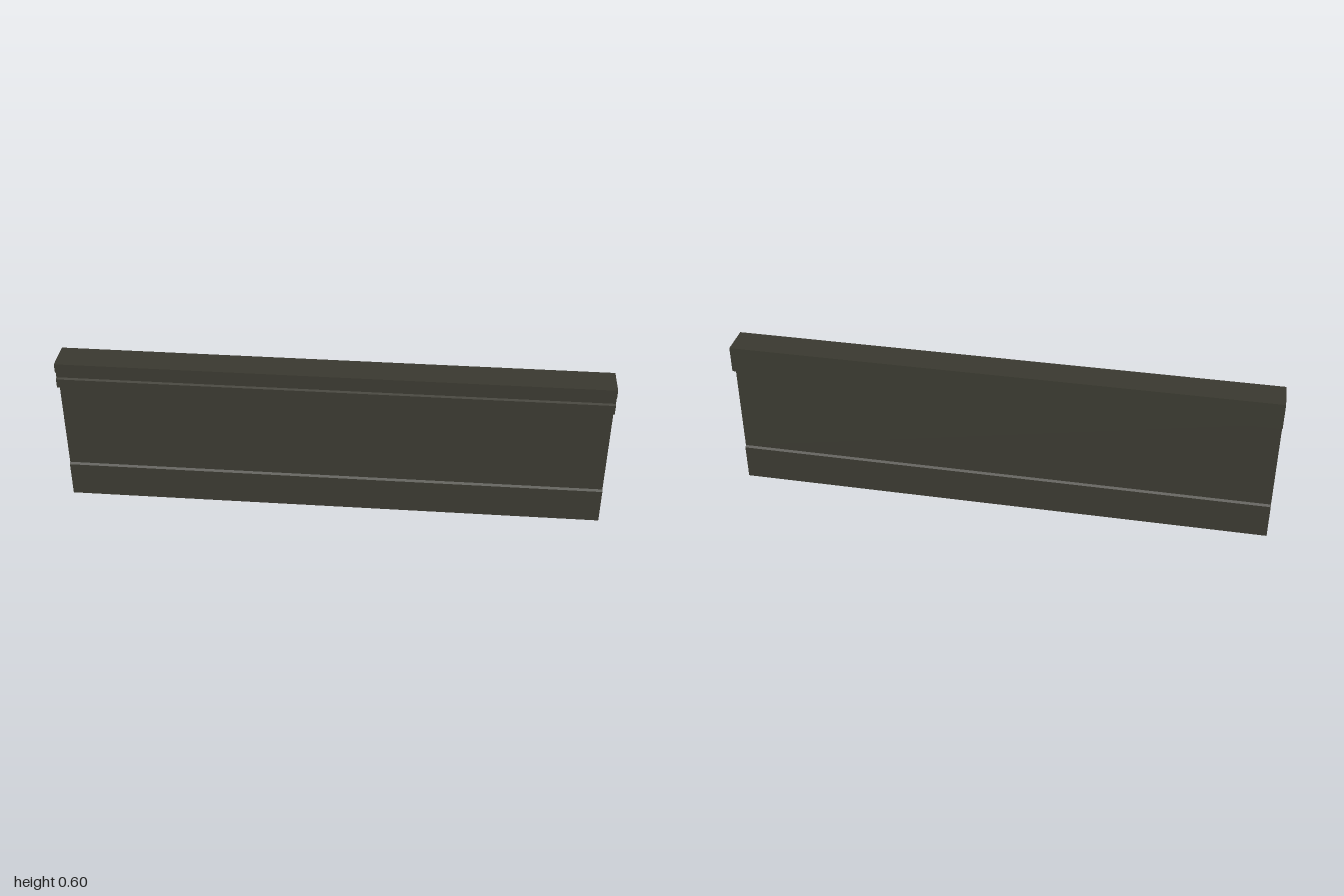
import * as THREE from 'three';

const darkOlive = new THREE.MeshStandardMaterial({ color: 0x3a3930, side: THREE.DoubleSide });
darkOlive.name = 'darkOlive';
const HALF = 1; // half length along x

// Long wall faces swept along x from an open [z, y] path
function wall(path) {
  const pos = [];
  for (let i = 0; i < path.length - 1; i++) {
    const [[za, ya], [zb, yb]] = [path[i], path[i + 1]];
    pos.push(-HALF, ya, za, HALF, ya, za, HALF, yb, zb);
    pos.push(-HALF, ya, za, HALF, yb, zb, -HALF, yb, zb);
  }
  const geo = new THREE.BufferGeometry();
  geo.setAttribute('position', new THREE.Float32BufferAttribute(pos, 3));
  geo.computeVertexNormals();
  return geo;
}

// Flat end face at x = side
function endFace(outline, side) {
  const shape = new THREE.Shape(outline.map(([z, y]) => new THREE.Vector2(-side * z, y)));
  return new THREE.ShapeGeometry(shape).rotateY(side * Math.PI / 2).translate(side * HALF, 0, 0);
}

// A part: swept walls plus both end faces
function part(name, paths) {
  const group = new THREE.Group();
  group.name = name;
  const add = (geo, label) => {
    const mesh = new THREE.Mesh(geo, darkOlive);
    mesh.name = label;
    group.add(mesh);
  };
  paths.forEach((p, i) => add(wall(p), name + 'Wall' + (i + 1)));
  const outline = paths.flat();
  add(endFace(outline, 1), name + 'LeftEnd');
  add(endFace(outline, -1), name + 'RightEnd');
  return group;
}

const mirrored = (path) => path.map(([z, y]) => [-z, y]).reverse();

export function createModel() {
  const model = new THREE.Group();
  model.name = 'barrierPanel';

  // Base plinth with chamfered shoulders, open underneath
  const base = [[0.035, 0], [0.035, 0.134], [0.027, 0.14]];
  // Thin upright panel
  const panel = [[0.027, 0.14], [0.027, 0.496]];
  // Top rail with a shallow groove along the front
  const rail = [
    [-0.027, 0.496], [-0.058, 0.496], [-0.058, 0.595], [0.058, 0.595],
    [0.058, 0.56], [0.05, 0.556], [0.05, 0.535], [0.058, 0.531],
    [0.058, 0.496], [0.027, 0.496],
  ].reverse();

  model.add(part('base', [base, mirrored(base)]));
  model.add(part('panel', [panel, mirrored(panel)]));
  model.add(part('topRail', [rail]));
  return model;
}
